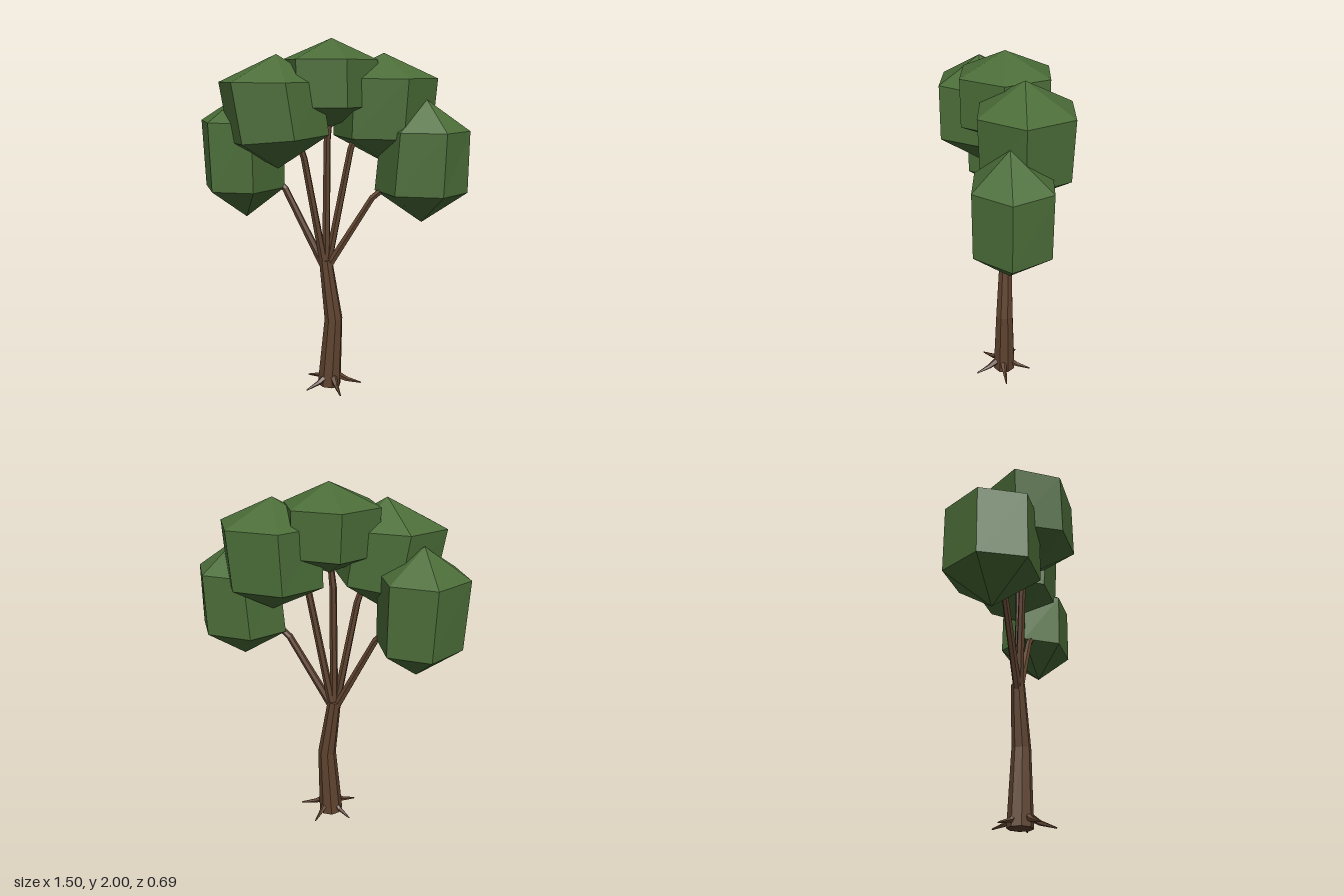
import * as THREE from 'three';

const leafGreen = new THREE.MeshStandardMaterial({ color: 0x4b6d38, flatShading: true });
leafGreen.name = 'leaf green';
const barkBrown = new THREE.MeshStandardMaterial({ color: 0x5f432f, flatShading: true });
barkBrown.name = 'bark brown';

// Skin a stack of rings, closed by a point at each end
function skin(rings, start, end) {
  const n = rings[0].length;
  const points = [...rings.flat(), start, end];
  const index = [];
  const s = points.length - 2, e = points.length - 1, last = (rings.length - 1) * n;
  for (let i = 0; i < n; i++) {
    const j = (i + 1) % n;
    index.push(s, i, j, e, last + j, last + i);
    for (let r = 0; r < last; r += n) {
      index.push(r + i, r + n + i, r + j, r + j, r + n + i, r + n + j);
    }
  }
  const geometry = new THREE.BufferGeometry().setFromPoints(points);
  geometry.setIndex(index);
  geometry.computeVertexNormals();
  return geometry;
}

// Tapered limb through [x, y, z, radius] stations
function limb(name, stations, sides) {
  const centres = stations.map(([x, y, z]) => new THREE.Vector3(x, y, z));
  const up = new THREE.Vector3(0, 1, 0);
  const rings = centres.map((c, k) => {
    const before = centres[Math.max(k - 1, 0)];
    const after = centres[Math.min(k + 1, centres.length - 1)];
    const turn = new THREE.Quaternion().setFromUnitVectors(up, after.clone().sub(before).normalize());
    return Array.from({ length: sides }, (_, i) => {
      const a = ((i + 0.5) / sides) * Math.PI * 2;
      const r = stations[k][3];
      return new THREE.Vector3(Math.cos(a) * r, 0, Math.sin(a) * r).applyQuaternion(turn).add(c);
    });
  });
  const mesh = new THREE.Mesh(skin(rings, centres[0], centres[centres.length - 1]), barkBrown);
  mesh.name = name;
  return mesh;
}

// Six-sided leaf clump: tips are [x, y, z], rings are [x, y, z, radiusX, radiusZ, tilt]
function clump(name, bottom, lower, upper, top) {
  const rings = [lower, upper].map(([x, y, z, rx, rz, tilt = 0]) =>
    Array.from({ length: 6 }, (_, i) => {
      const a = (i / 6) * Math.PI * 2;
      const dx = Math.cos(a) * rx;
      return new THREE.Vector3(x + dx, y + dx * tilt, z + Math.sin(a) * rz);
    }));
  const mesh = new THREE.Mesh(
    skin(rings, new THREE.Vector3(...bottom), new THREE.Vector3(...top)), leafGreen);
  mesh.name = name;
  return mesh;
}

export function createModel() {
  const tree = new THREE.Group();
  tree.name = 'tree';

  // Bent trunk
  tree.add(limb('trunk', [
    [-0.015, 0.005, -0.01, 0.07],
    [0.01, 0.42, -0.012, 0.053],
    [-0.037, 0.77, -0.017, 0.038],
  ], 8));

  // Five branches fanning out of the trunk top
  const branches = {
    leftBranch: [[-0.04, 0.72, -0.015, 0.024], [-0.27, 1.18, -0.02, 0.019], [-0.36, 1.27, -0.02, 0.016]],
    leftFrontBranch: [[-0.04, 0.72, -0.01, 0.024], [-0.145, 1.36, 0.04, 0.019], [-0.18, 1.48, 0.06, 0.016]],
    middleBranch: [[-0.035, 0.72, -0.015, 0.024], [-0.027, 1.45, -0.015, 0.02], [-0.01, 1.6, -0.015, 0.016]],
    rightBackBranch: [[-0.03, 0.72, -0.02, 0.024], [0.1, 1.41, -0.045, 0.019], [0.14, 1.52, -0.06, 0.016]],
    rightBranch: [[-0.03, 0.72, -0.015, 0.024], [0.225, 1.14, -0.03, 0.019], [0.33, 1.23, -0.035, 0.016]],
  };
  for (const [name, stations] of Object.entries(branches)) tree.add(limb(name, stations, 6));

  // Five short roots spread evenly
  for (let k = 0; k < 5; k++) {
    const a = ((135 + 72 * k) * Math.PI) / 180;
    const at = (d, y, r) => [Math.cos(a) * d, y, Math.sin(a) * d, r];
    tree.add(limb('root' + (k + 1),
      [at(0.04, 0.065, 0.021), at(0.09, 0.038, 0.014), at(0.175, 0.016, 0.004)], 5));
  }

  // Leaf clumps, from left to right
  tree.add(
    clump('leftLeaves', [-0.5, 1.01, -0.015],
      [-0.505, 1.187, -0.015, 0.232, 0.26], [-0.51, 1.56, -0.015, 0.24, 0.26], [-0.505, 1.71, -0.01]),
    clump('leftFrontLeaves', [-0.27, 1.315, 0.13],
      [-0.265, 1.475, 0.125, 0.275, 0.247, 0.09], [-0.31, 1.772, 0.13, 0.28, 0.245], [-0.27, 1.915, 0.13]),
    clump('topLeaves', [-0.005, 1.53, -0.015],
      [-0.01, 1.645, -0.015, 0.26, 0.255], [-0.017, 1.887, -0.015, 0.263, 0.257], [-0.002, 2, -0.012]),
    clump('rightBackLeaves', [0.28, 1.33, -0.115],
      [0.265, 1.477, -0.12, 0.275, 0.25], [0.28, 1.79, -0.118, 0.283, 0.26], [0.268, 1.925, -0.11]),
    clump('rightLeaves', [0.5, 1.01, -0.045],
      [0.49, 1.18, -0.06, 0.255, 0.215], [0.505, 1.515, -0.06, 0.24, 0.215], [0.51, 1.68, -0.045]),
  );
  return tree;
}
